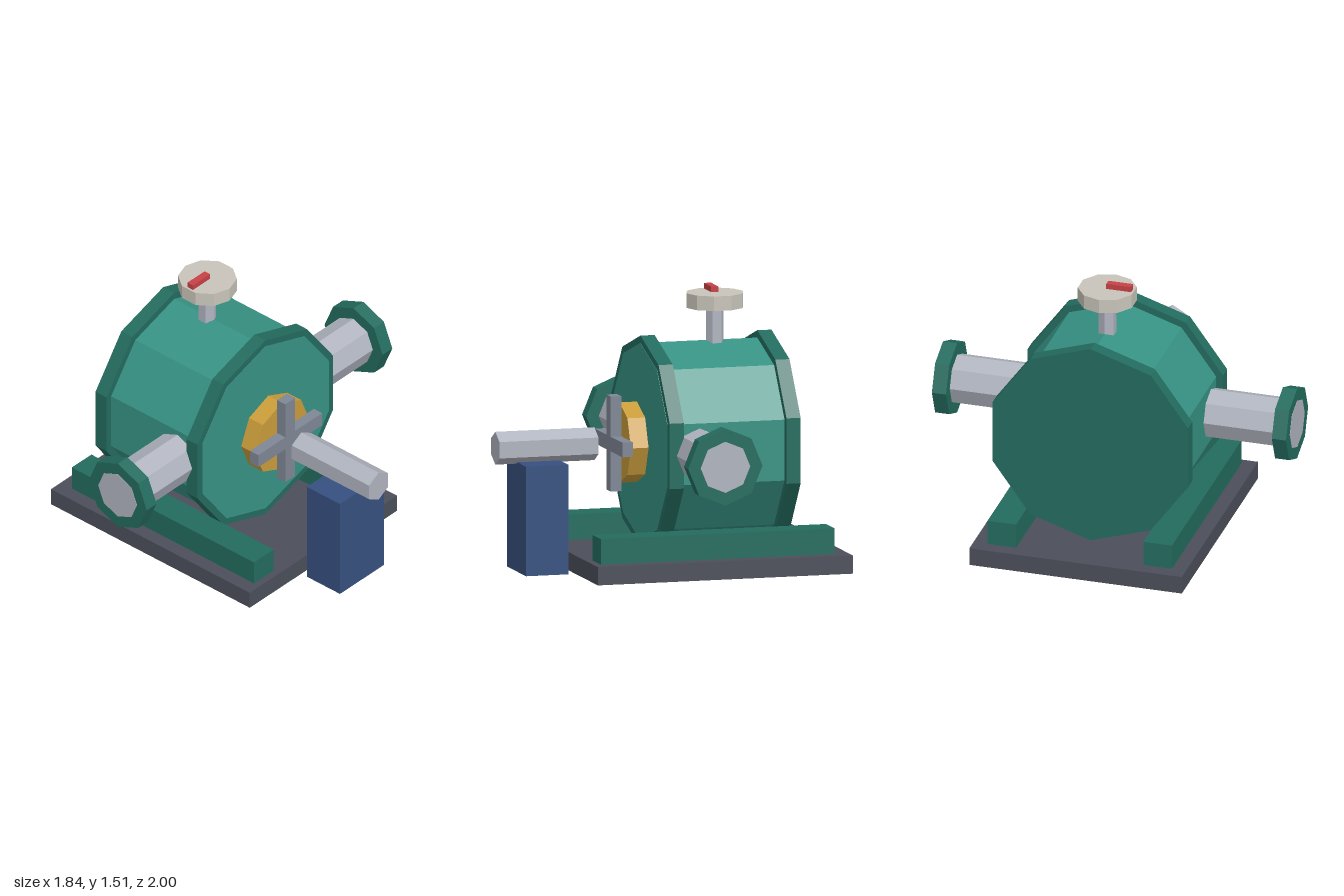
import * as THREE from 'three';

const material = (name, color) => {
  const m = new THREE.MeshStandardMaterial({ color, flatShading: true });
  m.name = name;
  return m;
};

export function createModel() {
  const model = new THREE.Group();
  model.name = 'pump';

  const slate = material('slate', 0x4b4f5a);
  const green = material('casing green', 0x379284);
  const darkGreen = material('dark green', 0x236b5e);
  const steel = material('pale steel', 0xb0b4bf);
  const greySteel = material('grey steel', 0x7f8795);
  const brass = material('brass', 0xc99c3a);
  const blue = material('blue', 0x36507f);
  const ivory = material('ivory', 0xc8c4ba);
  const red = material('red', 0xc64246);

  const add = (name, geometry, mat) => {
    const mesh = new THREE.Mesh(geometry, mat);
    mesh.name = name;
    model.add(mesh);
    return mesh;
  };

  // Box given by its extents on each axis
  const box = (name, mat, [x0, x1], [y0, y1], [z0, z1]) =>
    add(name, new THREE.BoxGeometry(x1 - x0, y1 - y0, z1 - z0), mat)
      .position.set((x0 + x1) / 2, (y0 + y1) / 2, (z0 + z1) / 2);

  // Regular prism along an axis from a to b, through the point (x, y, z)
  const prism = (name, mat, axis, sides, radius, a, b, [x, y, z]) => {
    const g = new THREE.CylinderGeometry(radius, radius, b - a, sides, 1, false, Math.PI / 2);
    if (axis === 'x') g.rotateZ(Math.PI / 2);
    if (axis === 'z') g.rotateX(Math.PI / 2);
    const mesh = add(name, g, mat);
    mesh.position.set(x, y, z);
    mesh.position[axis] = (a + b) / 2;
  };

  const axisY = 0.68;

  // Base plate and two mounting rails
  box('basePlate', slate, [-0.92, 0.52], [0, 0.1], [-0.6, 0.6]);
  box('frontRail', darkGreen, [-0.84, 0.48], [0.1, 0.24], [0.36, 0.52]);
  box('backRail', darkGreen, [-0.84, 0.48], [0.1, 0.24], [-0.52, -0.36]);

  // Ten-sided casing between two end rings
  prism('casing', green, 'x', 10, 0.54, -0.63, 0.102, [0, axisY, 0]);
  prism('rightCasingRing', darkGreen, 'x', 10, 0.58, -0.64, -0.56, [0, axisY, 0]);
  prism('leftCasingRing', darkGreen, 'x', 10, 0.58, 0.02, 0.1, [0, axisY, 0]);

  // Flanged pipes front and back
  for (const [side, s] of [['front', 1], ['back', -1]]) {
    const span = (a, b) => (s > 0 ? [a, b] : [-b, -a]);
    prism(side + 'Pipe', steel, 'z', 8, 0.14, ...span(0.4, 1.002), [-0.08, axisY, 0]);
    prism(side + 'PipeFlange', darkGreen, 'z', 8, 0.21, ...span(0.92, 1), [-0.08, axisY, 0]);
  }

  // Seal, cross-shaped coupling and drive shaft
  prism('seal', brass, 'x', 8, 0.22, 0.12, 0.22, [0, axisY, 0]);
  box('couplingUpright', greySteel, [0.22, 0.28], [0.42, 0.94], [-0.04, 0.04]);
  box('couplingCrossbar', greySteel, [0.22, 0.28], [0.64, 0.72], [-0.26, 0.26]);
  prism('driveShaft', steel, 'x', 6, 0.09, 0.36, 0.92, [0, axisY, 0]);
  box('bearingPedestal', blue, [0.56, 0.8], [0, 0.6], [-0.18, 0.18]);

  // Gauge on a stem, with its pointer
  prism('gaugeStem', steel, 'y', 6, 0.05, 1.18, 1.4, [-0.32, 0, 0]);
  prism('gaugeDial', ivory, 'y', 10, 0.16, 1.4, 1.48, [-0.32, 0, 0]);
  box('gaugePointer', red, [-0.34, -0.3], [1.48, 1.51], [0, 0.14]);

  return model;
}
